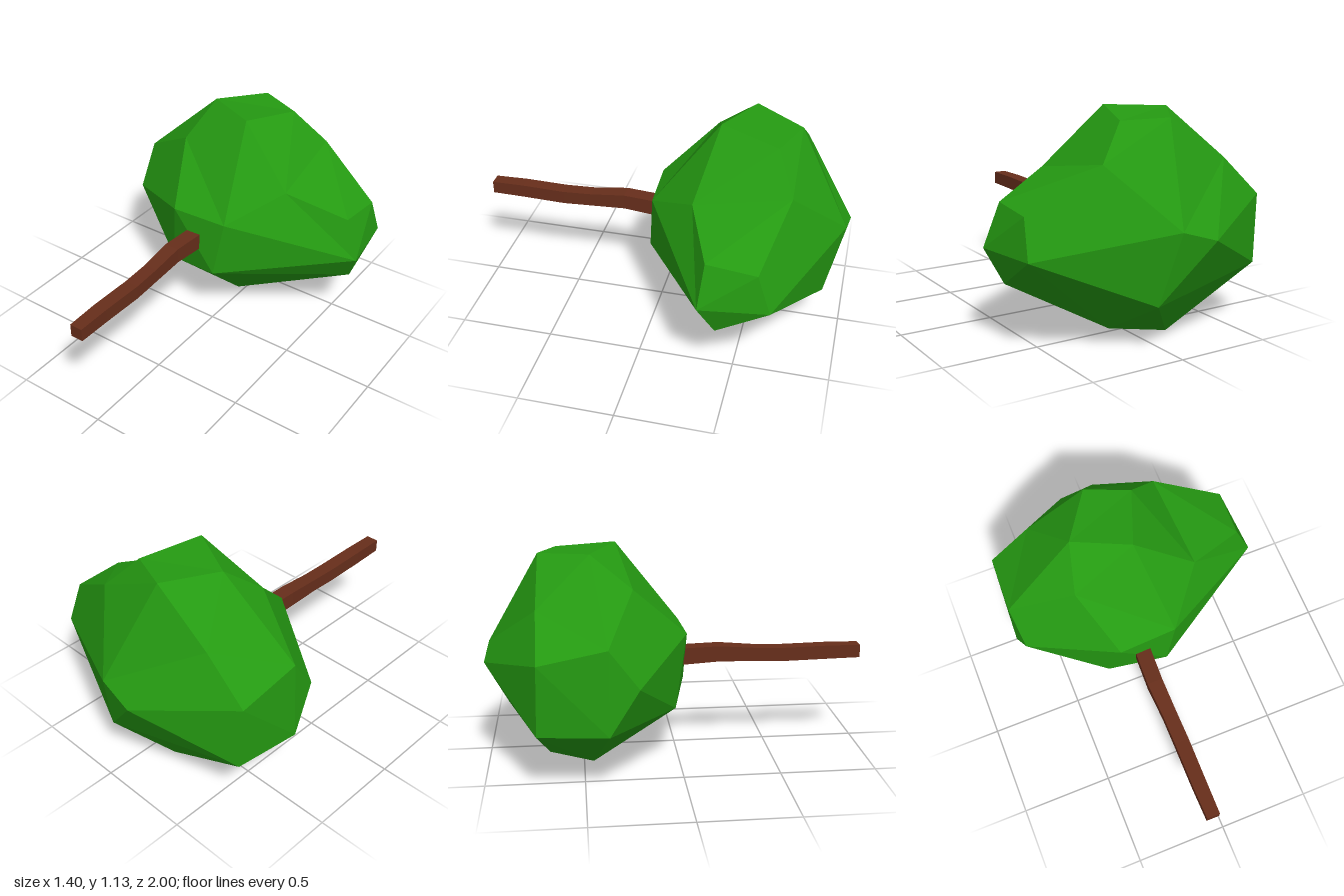
import * as THREE from 'three';
import { ConvexGeometry } from 'three/addons/geometries/ConvexGeometry.js';

const V = (x, y, z) => new THREE.Vector3(x, y, z);

// Corner points of the faceted crown
const crownPoints = [
  // upper lobe
  V(0, 1.13, -0.31), V(0.11, 1.09, -0.62), V(-0.12, 1.1, -0.71), V(-0.29, 1.12, -0.45),
  // saddles either side of the lobe
  V(0.31, 0.83, -0.23), V(0.27, 0.91, -0.72), V(-0.35, 0.95, -0.24), V(-0.45, 0.88, -0.72),
  // +x end
  V(0.62, 0.71, -0.36), V(0.63, 0.69, -0.62), V(0.7, 0.49, -0.34), V(0.65, 0.49, -0.69), V(0.63, 0.32, -0.42),
  // -x end
  V(-0.69, 0.74, -0.38), V(-0.68, 0.67, -0.72), V(-0.67, 0.535, -0.23), V(-0.705, 0.31, -0.38), V(-0.66, 0.31, -0.73),
  // face around the trunk
  V(0.04, 0.36, 0.055), V(0.095, 0.68, 0.03), V(-0.22, 0.68, 0.045), V(-0.28, 0.295, -0.02),
  // far side
  V(-0.19, 0.55, -1), V(0, 0.61, -0.985), V(0.07, 0.24, -0.9),
  // underside
  V(-0.24, 0, -0.45), V(-0.03, 0.01, -0.31), V(-0.14, 0.02, -0.68), V(0.15, 0.06, -0.6),
];

// Triangulate the points on an ellipsoid, then move each corner back out,
// so the saddles stay hollow.
function crownGeometry() {
  const centre = V(-0.01, 0.5, -0.48);
  const radii = V(0.75, 0.6, 0.55);
  const directions = crownPoints.map((p) => p.clone().sub(centre).divide(radii).normalize());
  const geometry = new ConvexGeometry(directions);
  const pos = geometry.attributes.position;
  const v = V(0, 0, 0);
  for (let i = 0; i < pos.count; i++) {
    v.fromBufferAttribute(pos, i);
    let best = 0;
    directions.forEach((d, j) => {
      if (d.distanceToSquared(v) < directions[best].distanceToSquared(v)) best = j;
    });
    pos.setXYZ(i, ...crownPoints[best].toArray());
  }
  geometry.computeVertexNormals();
  return geometry;
}

// Trunk cross-sections: z, centre x, centre y, width, height
const trunkSections = [
  [1, -0.09, 0.527, 0.07, 0.07],
  [0.82, -0.092, 0.527, 0.075, 0.074],
  [0.58, -0.091, 0.522, 0.077, 0.074],
  [0.42, -0.094, 0.528, 0.075, 0.074],
  [0.23, -0.102, 0.541, 0.083, 0.084],
  [0.04, -0.095, 0.53, 0.083, 0.09],
  [-0.2, -0.095, 0.53, 0.085, 0.09],
];

function trunkGeometry() {
  const steps = trunkSections.length - 1;
  const geometry = new THREE.BoxGeometry(1, 1, 1, 1, 1, steps);
  const pos = geometry.attributes.position;
  for (let i = 0; i < pos.count; i++) {
    const [z, cx, cy, w, h] = trunkSections[Math.round((0.5 - pos.getZ(i)) * steps)];
    pos.setXYZ(i, cx + pos.getX(i) * w, cy + pos.getY(i) * h, z);
  }
  geometry.computeVertexNormals();
  return geometry;
}

export function createModel() {
  const group = new THREE.Group();
  group.name = 'tree';
  const add = (name, geometry, color) => {
    const mesh = new THREE.Mesh(geometry, new THREE.MeshStandardMaterial({ color, flatShading: true }));
    mesh.name = name;
    group.add(mesh);
  };
  add('crown', crownGeometry(), 0x259a12);
  add('trunk', trunkGeometry(), 0x672e1b);
  return group;
}
